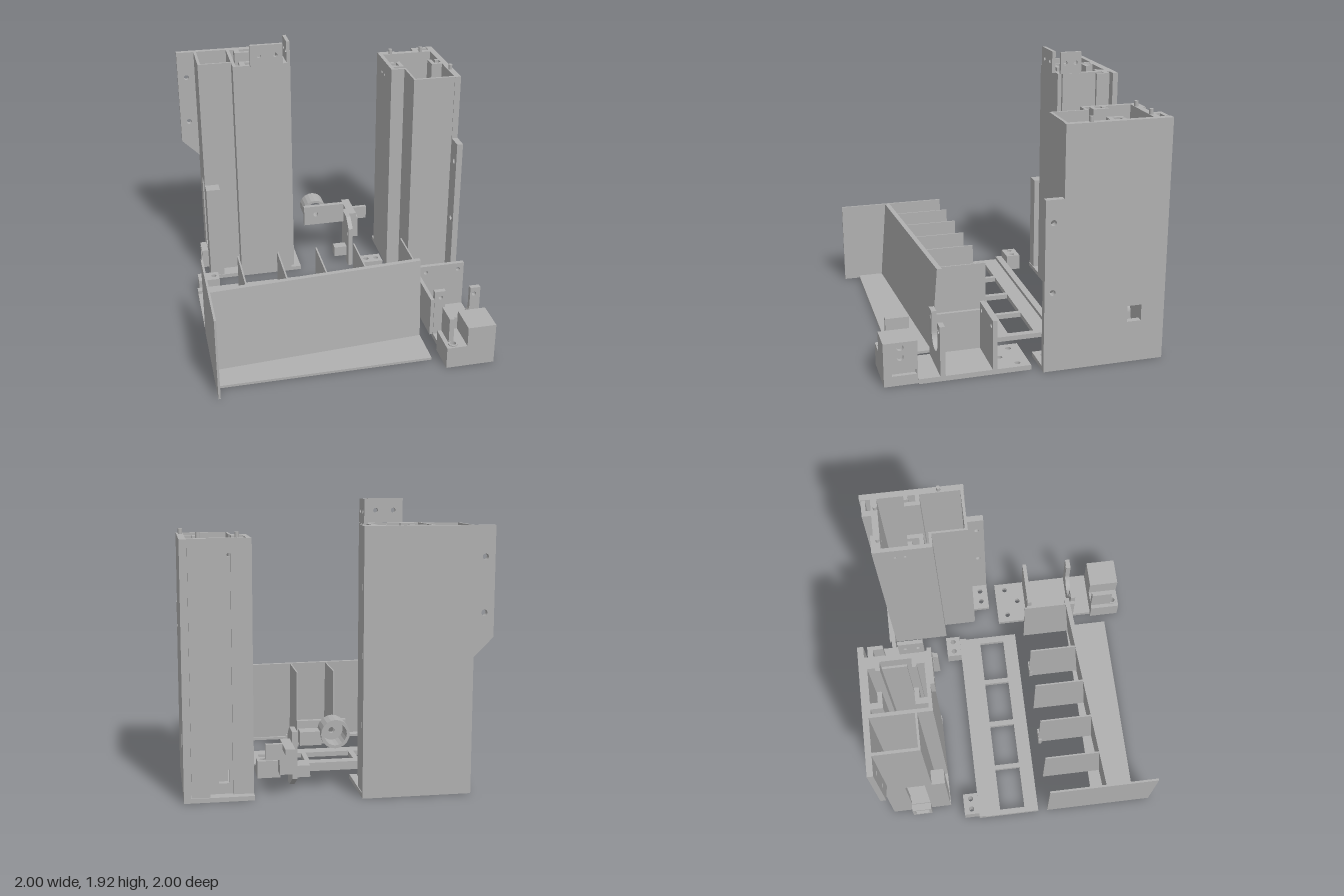
import * as THREE from 'three';

export function createModel() {
  const model = new THREE.Group();
  const grey = new THREE.MeshStandardMaterial({ color: 0xb0b0b0 });
  grey.name = 'plain grey';
  let part = model;

  const startPart = (name) => {
    part = new THREE.Group();
    part.name = name;
    model.add(part);
  };
  const add = (name, geometry) => {
    const mesh = new THREE.Mesh(geometry, grey);
    mesh.name = name;
    part.add(mesh);
    return mesh;
  };
  // Box given by its limits on each axis
  const box = (name, x0, x1, y0, y1, z0, z1) =>
    add(name, new THREE.BoxGeometry(x1 - x0, y1 - y0, z1 - z0))
      .position.set((x0 + x1) / 2, (y0 + y1) / 2, (z0 + z1) / 2);
  // Outline from corner points, or from a rectangle [u0, v0, u1, v1]
  const outline = (o, Type) => {
    if (typeof o[0] === 'number') {
      const [a, b, c, d] = o;
      o = [[a, b], [c, b], [c, d], [a, d]];
    }
    return new Type(o.map(([u, v]) => new THREE.Vector2(u, v)));
  };
  // Plate from a to b along an axis; drawn in (x,y) for z, (x,z) for y, (z,y) for x.
  // Holes are circles [u, v, r] or rectangles [u0, v0, u1, v1].
  const plate = (name, axis, a, b, o, holes = []) => {
    const shape = o instanceof THREE.Shape ? o : outline(o, THREE.Shape);
    for (const h of holes) {
      shape.holes.push(h.length === 3
        ? new THREE.Path().absarc(h[0], h[1], h[2], 0, Math.PI * 2, true)
        : outline(h, THREE.Path));
    }
    const g = new THREE.ExtrudeGeometry(shape, { depth: b - a, bevelEnabled: false, curveSegments: 10 });
    if (axis === 'z') g.translate(0, 0, a);
    if (axis === 'y') g.rotateX(Math.PI / 2).translate(0, b, 0);
    if (axis === 'x') g.rotateY(-Math.PI / 2).translate(b, 0, 0);
    return add(name, g);
  };

  // Left tower: floor, back plate, small side chamber and main chamber
  startPart('tallTower');
  const H = 1.76;
  plate('floor', 'y', 0, 0.03, [-0.87, -0.985, -0.145, -0.54],
    [[-0.485, -0.84, -0.315, -0.68], [-0.45, -0.905, -0.41, -0.875], [-0.38, -0.905, -0.3, -0.875]]);
  plate('backPlate', 'z', -0.985, -0.945,
    [[-0.87, 0], [-0.145, 0], [-0.145, H], [-1, H], [-1, 1.04], [-0.87, 0.91]],
    [[-0.935, 1.56, 0.02], [-0.935, 1.2, 0.02]]);
  plate('sideWall', 'x', -0.87, -0.85, [-0.945, 0.03, -0.64, H], [[-0.83, 0.2, -0.69, 0.78]]);
  box('sideChamberFront', -0.85, -0.62, 0.03, H, -0.655, -0.64);
  box('divider', -0.625, -0.6, 0.03, H, -0.945, -0.54);
  box('frontWall', -0.6, -0.22, 0.03, H, -0.565, -0.54);
  plate('innerWall', 'x', -0.26, -0.22, [-0.945, 0.03, -0.565, H]);
  box('innerLiner', -0.29, -0.275, 0.03, 1.7, -0.84, -0.68);
  box('backLiner', -0.6, -0.26, 0.03, H, -0.945, -0.93);
  // L-shaped outer rail
  plate('outerRail', 'y', 0.03, H,
    [[-0.22, -0.92], [-0.15, -0.92], [-0.15, -0.82], [-0.175, -0.82], [-0.175, -0.885], [-0.22, -0.885]]);
  box('rearRail', -0.22, -0.195, 0.03, H, -0.7, -0.57);
  // C-shaped guide rails inside
  for (const [z, s] of [[-0.93, 1], [-0.565, -1]]) {
    plate('guideRail', 'y', 0.03, H, [[-0.57, z], [-0.53, z], [-0.53, z + s * 0.05], [-0.46, z + s * 0.05],
      [-0.46, z + s * 0.08], [-0.57, z + s * 0.08]]);
    plate('guideRail', 'y', 0.03, H, [[-0.3, z], [-0.26, z], [-0.26, z + s * 0.08], [-0.32, z + s * 0.08],
      [-0.32, z + s * 0.05], [-0.3, z + s * 0.05]]);
  }
  box('cornerPost', -0.87, -0.765, 0.03, 0.78, -0.64, -0.545);
  box('innerPost', -0.85, -0.765, 0.03, 0.78, -0.945, -0.85);
  plate('squareSpout', 'x', -0.92, -0.665, [-0.835, 0.03, -0.69, 0.18], [[-0.815, 0.05, -0.71, 0.16]]);
  plate('frontBracket', 'z', -0.535, -0.508, [-0.5, H, -0.26, 1.92], [[-0.435, 1.84, 0.016], [-0.315, 1.84, 0.016]]);
  plate('sideBracket', 'x', -0.225, -0.2, [-0.715, H, -0.555, 1.92], [[-0.67, 1.84, 0.016], [-0.59, 1.84, 0.016]]);

  // Right tower: stepped floor, side plate with window, chamber walls
  startPart('shortTower');
  const T = 1.685;
  plate('floor', 'y', 0, 0.03,
    [[0.545, -0.905], [1, -0.905], [1, -0.055], [0.745, -0.055], [0.745, -0.19], [0.645, -0.19], [0.645, -0.435], [0.545, -0.435]],
    [[0.81, -0.115, 0.02], [0.9, -0.115, 0.02], [0.88, -0.78, 0.92, -0.75], [0.88, -0.74, 0.92, -0.65], [0.88, -0.64, 0.92, -0.6]]);
  plate('sidePlate', 'x', 0.955, 1,
    [[-0.905, 0], [-0.055, 0], [-0.055, 1.2], [-0.18, 1.2], [-0.18, T], [-0.905, T]],
    [[-0.11, 1.045, 0.02], [-0.11, 0.565, 0.02], [-0.74, 0.295, -0.64, 0.41]]);
  plate('backWall', 'z', -0.83, -0.785, [0.545, 0.03, 0.955, T],
    [[0.7, 0.1, 0.77, 0.19], [0.62, 1.58, 0.012], [0.69, 1.58, 0.012]]);
  plate('innerSideWall', 'x', 0.545, 0.575, [-0.785, 0.03, -0.435, T], [[-0.7, 1.58, 0.012], [-0.63, 1.58, 0.012]]);
  box('stepWall', 0.575, 0.66, 0.03, T, -0.455, -0.435);
  box('narrowWall', 0.645, 0.66, 0.03, T, -0.435, -0.19);
  box('frontWall', 0.645, 0.955, 0.03, T, -0.205, -0.185);
  plate('outerRail', 'y', 0.03, T,
    [[0.83, -0.83], [0.87, -0.83], [0.87, -0.865], [0.95, -0.865], [0.95, -0.895], [0.83, -0.895]]);
  box('rearRail', 0.545, 0.68, 0.03, T, -0.85, -0.83);
  for (const [x, s] of [[0.575, 1], [0.955, -1]]) {
    plate('guideRail', 'y', 0.03, T, [[x, -0.52], [x + s * 0.05, -0.52], [x + s * 0.05, -0.6], [x + s * 0.08, -0.6],
      [x + s * 0.08, -0.49], [x, -0.49]]);
    box('guideLip', Math.min(x, x + s * 0.03), Math.max(x, x + s * 0.03), 0.03, T, -0.6, -0.57);
  }
  for (const [x, z] of [[0.635, -0.8], [0.88, -0.8], [0.975, -0.355]]) {
    add('pin', new THREE.CylinderGeometry(0.014, 0.014, 0.06, 16)).position.set(x, 1.692, z);
  }
  // Rounded deflector behind the window
  const deflector = new THREE.Shape().moveTo(0.705, 0.03).lineTo(0.825, 0.03).lineTo(0.825, 0.28)
    .absarc(0.765, 0.28, 0.06, 0, Math.PI, false);
  plate('deflector', 'z', -0.74, -0.66, deflector);

  // Front tray: floor, end plate, leaning wall, dividing fins
  startPart('tray');
  box('trayFloor', -0.985, 0.51, 0, 0.018, 0.56, 0.885);
  box('endPlate', -1, -0.985, 0, 0.615, 0.2, 1);
  const wall = new THREE.BoxGeometry(1.495, 0.597, 0.035).toNonIndexed();
  const p = wall.attributes.position;
  for (let i = 0; i < p.count; i++) {
    const x = p.getX(i) - 0.2375, y = p.getY(i) + 0.3135;
    p.setXYZ(i, x, y, p.getZ(i) + 0.684 - 0.067 * (x + 0.985) - 0.083 * y);
  }
  wall.computeVertexNormals();
  add('leaningWall', wall);
  for (const x of [-0.735, -0.45, -0.17, 0.11, 0.465]) {
    const z = 0.67 - 0.067 * (x + 0.985);
    plate('fin', 'x', x - 0.005, x + 0.006, [[0.2, 0.035], [z, 0.035], [z - 0.05, 0.608], [0.2, 0.608]]);
  }
  for (const x of [-0.47, 0.1]) box('finTab', x, x + 0.095, 0.035, 0.13, 0.2, 0.225);

  // Window frame lying on the ground with two drilled blocks
  startPart('groundFrame');
  plate('frame', 'y', 0, 0.035, [-1, -0.33, 0.48, 0.13],
    [-0.96, -0.605, -0.245, 0.11].map((x) => [x, -0.165, x + 0.32, 0.025]));
  box('frameLip', -1, 0.48, 0.035, 0.06, -0.33, -0.28);
  for (const x of [-0.985, 0.32]) {
    plate('drilledBlock', 'y', 0, 0.12, [x, -0.44, x + 0.16, -0.33],
      [[x + 0.04, -0.385, 0.02], [x + 0.12, -0.385, 0.02]]);
  }

  // Small bracket holding a tube between the towers
  startPart('tubeBracket');
  const ring = new THREE.Shape().absarc(0.015, 0.41, 0.095, 0, Math.PI * 2, false);
  plate('tube', 'z', -0.88, -0.735, ring, [[0.015, 0.41, 0.075]]);
  plate('tubePlate', 'z', -0.735, -0.7, [-0.08, 0.31, 0.245, 0.47], [[0.015, 0.4, 0.02]]);
  box('plateBlock', 0.1, 0.24, 0.33, 0.42, -0.835, -0.735);
  plate('uprightPlate', 'x', 0.245, 0.28, [[-0.745, 0.08], [-0.6, 0], [-0.515, 0], [-0.515, 0.33], [-0.6, 0.4], [-0.745, 0.4]],
    [[-0.56, 0.27, 0.016]]);
  box('footBlock', 0.145, 0.245, 0.06, 0.14, -0.65, -0.58);
  box('arm', 0.295, 0.36, 0.32, 0.355, -1, -0.735);
  box('armBlock', 0.28, 0.375, 0.14, 0.32, -0.835, -0.735);
  box('armFlag', 0.36, 0.47, 0.25, 0.355, -0.865, -0.835);

  // Cradle at the front right
  startPart('cradle');
  plate('base', 'y', 0, 0.035, [0.6, 0.01, 0.94, 0.775],
    [[0.66, 0.09, 0.02], [0.885, 0.09, 0.02], [0.775, 0.185, 0.02]]);
  plate('rearUpright', 'z', 0.245, 0.275, [0.6, 0.035, 0.94, 0.385], [[0.645, 0.335, 0.016], [0.895, 0.335, 0.016]]);
  const notch = new THREE.Shape().moveTo(0.6, 0.035).lineTo(0.94, 0.035).lineTo(0.94, 0.385).lineTo(0.865, 0.385)
    .lineTo(0.865, 0.24).absarc(0.773, 0.24, 0.092, 0, Math.PI, true).lineTo(0.681, 0.385).lineTo(0.6, 0.385);
  plate('notchedUpright', 'z', 0.595, 0.63, notch, [[0.645, 0.335, 0.016], [0.895, 0.335, 0.016]]);
  box('cradleSide', 0.575, 0.6, 0.03, 0.32, 0.24, 0.625);

  // Stepped box in front of the cradle
  startPart('steppedBox');
  plate('lowStep', 'y', 0, 0.16, [0.58, 0.775, 0.725, 1], [[0.635, 0.955, 0.02]]);
  const boss = new THREE.Shape().absarc(0.635, 0.955, 0.034, 0, Math.PI * 2, false);
  plate('screwBoss', 'y', 0.16, 0.168, boss, [[0.635, 0.955, 0.02]]);
  box('tallBlock', 0.725, 0.895, 0, 0.305, 0.775, 1);
  plate('drilledSide', 'x', 0.895, 0.925, [0.775, 0, 1, 0.305],
    [[0.89, 0.27, 0.024], [0.89, 0.2, 0.024], [0.785, 0.07, 0.945, 0.105]]);
  box('thinFin', 0.61, 0.645, 0.16, 0.35, 0.775, 0.935);

  return model;
}
